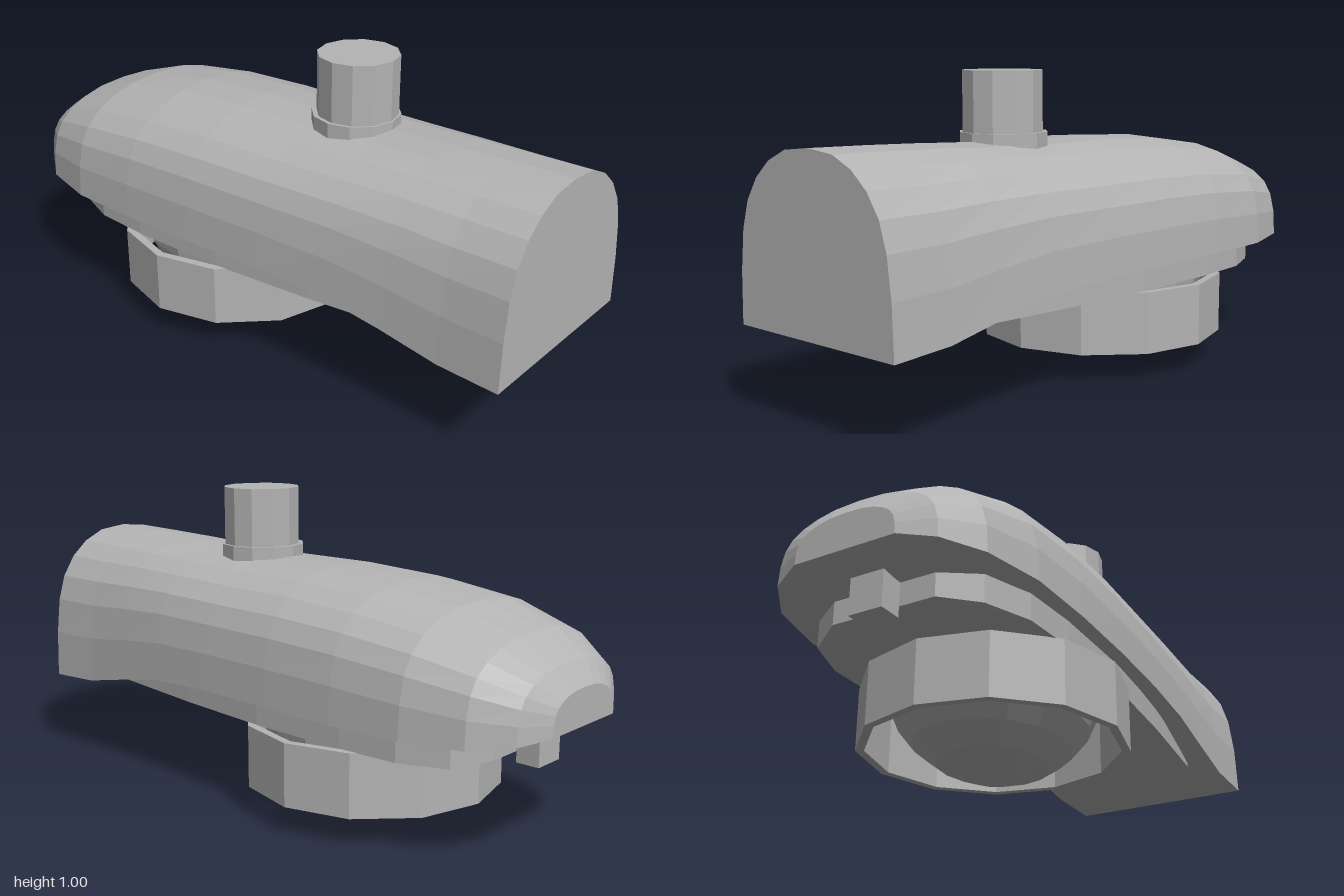
import * as THREE from 'three';

const grey = new THREE.MeshStandardMaterial({ color: 0xb4b4b4, flatShading: true });
grey.name = 'plain grey';

// Arched half profile: fraction of half width, fraction of height
const ARCH = [[1, 0], [0.985, 0.3], [0.94, 0.53], [0.86, 0.69], [0.72, 0.82], [0.54, 0.915], [0.31, 0.98], [0, 1]];

// Body stations: z, half width, bottom, top
const STATIONS = [
  [1, 0.325, 0.28, 0.81], [0.8, 0.328, 0.29, 0.804], [0.6, 0.337, 0.33, 0.796], [0.4, 0.35, 0.365, 0.785],
  [0.15, 0.368, 0.378, 0.776], [-0.13, 0.385, 0.38, 0.775], [-0.4, 0.394, 0.38, 0.76], [-0.65, 0.39, 0.38, 0.725],
  [-0.84, 0.345, 0.385, 0.663], [-0.95, 0.265, 0.398, 0.59], [-1, 0.165, 0.412, 0.525],
];

function loft(stations) {
  const loop = [...ARCH, ...ARCH.slice(0, -1).reverse().map(([x, y]) => [-x, y])];
  const n = loop.length;
  const positions = [];
  const index = [];
  for (const [z, w, lo, hi] of stations) {
    for (const [x, y] of loop) positions.push(x * w, lo + y * (hi - lo), z);
  }
  for (let i = 0; i < stations.length - 1; i++) {
    for (let j = 0; j < n; j++) {
      const a = i * n + j, b = i * n + (j + 1) % n;
      index.push(a, a + n, b + n, a, b + n, b);
    }
  }
  // End caps
  const last = (stations.length - 1) * n;
  for (let j = 1; j < n - 1; j++) {
    index.push(0, j, j + 1, last, last + j + 1, last + j);
  }
  const g = new THREE.BufferGeometry();
  g.setAttribute('position', new THREE.Float32BufferAttribute(positions, 3));
  g.setIndex(index);
  g.computeVertexNormals();
  return g;
}

export function createModel() {
  const model = new THREE.Group();
  const add = (name, geometry, x = 0, y = 0, z = 0) => {
    const mesh = new THREE.Mesh(geometry, grey);
    mesh.name = name;
    mesh.position.set(x, y, z);
    model.add(mesh);
    return mesh;
  };

  // Long arched housing
  add('housing', loft(STATIONS));

  // Flat plate under the housing
  const side = [[0.245, 0.7], [0.3, 0.3], [0.335, -0.05], [0.345, -0.4], [0.335, -0.6], [0.28, -0.75], [0.17, -0.82]];
  const outline = [...side, ...side.slice().reverse().map(([x, z]) => [-x, z])];
  const shape = new THREE.Shape(outline.map(([x, z]) => new THREE.Vector2(x, z)));
  const plate = new THREE.ExtrudeGeometry(shape, { depth: 0.095, bevelEnabled: false });
  plate.rotateX(Math.PI / 2);
  // Raise the rear lower edge a little
  const p = plate.attributes.position;
  for (let i = 0; i < p.count; i++) {
    if (p.getZ(i) < -0.8 && p.getY(i) < -0.05) p.setY(i, -0.08);
  }
  plate.computeVertexNormals();
  add('basePlate', plate, 0, 0.392, 0);

  // Open collar around the lens
  const ringProfile = [[0.415, 0.097], [0.415, 0.298], [0.388, 0.298], [0.388, 0.097], [0.415, 0.097]];
  add('lensRing', new THREE.LatheGeometry(ringProfile.map(([x, y]) => new THREE.Vector2(x, y)), 12), 0, 0, -0.245);

  // Domed lens, slightly longer than wide
  const dome = new THREE.SphereGeometry(1, 16, 6, 0, Math.PI * 2, Math.PI / 2, Math.PI / 2);
  dome.scale(0.328, 0.328, 0.385);
  add('lensDome', dome, 0, 0.332, -0.245);

  // Round post and its collar on top
  add('postCollar', new THREE.CylinderGeometry(0.14, 0.14, 0.07, 12), 0, 0.775, 0.245);
  add('post', new THREE.CylinderGeometry(0.128, 0.128, 0.26, 12), 0, 0.87, 0.25);

  // Small peg under the rear end
  add('rearPeg', new THREE.BoxGeometry(0.11, 0.13, 0.075), 0, 0.343, -0.858);

  return model;
}
